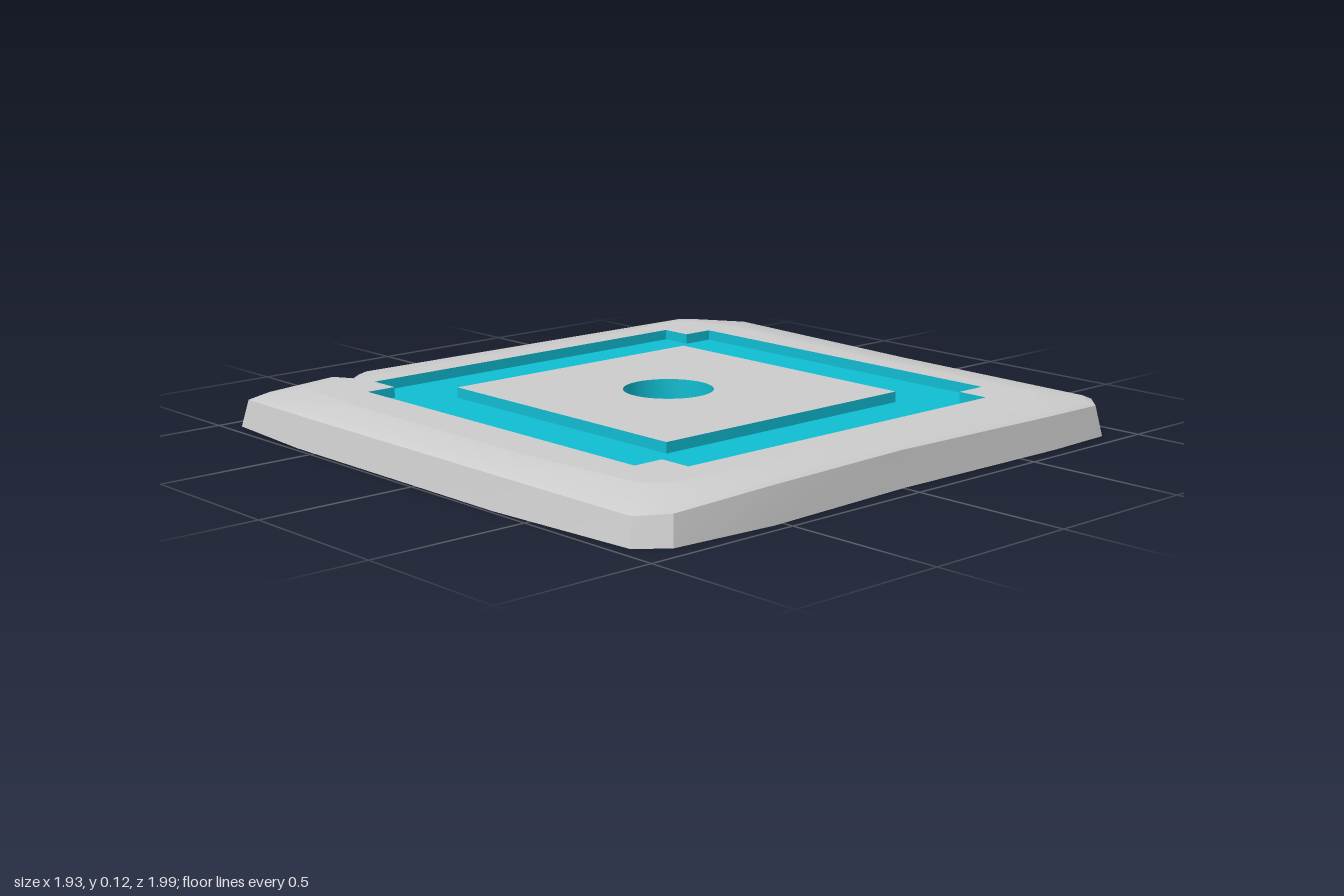
import * as THREE from 'three';
import { toCreasedNormals } from 'three/addons/utils/BufferGeometryUtils.js';

const TOP = 0.123, GROOVE = 0.09, HOLE = 0.06;

// Worn slab outline, clockwise from above: x, z, height of the side there
const outline = [
  [-0.97, -0.91, 0.09], [-0.94, -0.95, 0.09], [-0.71, -1, 0.105], [0.13, -0.95, 0.105],
  [0.885, -0.95, 0.1], [0.94, -0.9, 0.095], [0.95, -0.66, 0.1], [0.94, 0, 0.105],
  [0.965, 0.53, 0.105], [0.94, 0.87, 0.085], [0.87, 0.955, 0.08], [0.35, 0.99, 0.095],
  [-0.59, 0.985, 0.095], [-0.94, 0.955, 0.085], [-0.97, 0.89, 0.085],
  [-0.962, 0.65, 0.1], [-0.96, 0.63, 0.055], [-0.957, 0.52, 0.1], [-0.94, -0.37, 0.1],
];
const chip = [15, 16, 17]; // outline points of the broken notch

const rect = (x0, x1, z0, z1) => [[x0, z0], [x1, z0], [x1, z1], [x0, z1]];
const circle = (cx, cz, r, n = 48) => Array.from({ length: n }, (_, i) => {
  const a = (i / n) * Math.PI * 2;
  return [cx + r * Math.cos(a), cz + r * Math.sin(a)];
});
const at = (points, y) => points.map(([x, z]) => [x, y, z]);

// Skin successive closed loops of [x, y, z]
function skin(loops) {
  const pos = [];
  for (let k = 0; k < loops.length - 1; k++) {
    const a = loops[k], b = loops[k + 1];
    for (let i = 0; i < a.length; i++) {
      const j = (i + 1) % a.length;
      pos.push(...a[i], ...b[i], ...a[j], ...a[j], ...b[i], ...b[j]);
    }
  }
  const geo = new THREE.BufferGeometry();
  geo.setAttribute('position', new THREE.Float32BufferAttribute(pos, 3));
  geo.computeVertexNormals();
  return toCreasedNormals(geo, 0.45);
}

// Level face at height y, optionally with a hole
function face(points, y, hole, down = false) {
  const s = down ? 1 : -1;
  const flat = (p) => p.map(([x, z]) => new THREE.Vector2(x, s * z));
  const shape = new THREE.Shape(flat(points));
  if (hole) shape.holes.push(new THREE.Path(flat(hole)));
  return new THREE.ShapeGeometry(shape).rotateX(s * Math.PI / 2).translate(0, y, 0);
}

export function createModel() {
  const group = new THREE.Group();
  const stone = new THREE.MeshStandardMaterial({ color: 0xcccccc });
  const cyan = new THREE.MeshStandardMaterial({ color: 0x10bdd2, side: THREE.DoubleSide });
  const add = (name, geo, mat) => {
    const mesh = new THREE.Mesh(geo, mat);
    mesh.name = name;
    group.add(mesh);
  };

  // Slab body: tapered side, bevelled lip, gentle slope up to the plateau
  const ring = (scale, height) => outline.map(([x, z, h]) => [x * scale, height(h), z * scale]);
  const plateau = ring(0.85, () => TOP);
  chip.forEach((i) => { plateau[i] = [-0.815, TOP, 0.62]; });
  add('slabSides', skin([
    ring(1, () => 0),
    ring(0.982, (h) => h),
    ring(0.96, (h) => h + 0.011),
    plateau,
  ]), stone);
  add('slabBottom', face(outline, 0, null, true), stone);

  // Square groove with stepped corners
  const grooveOuter = [
    [-0.625, -0.735], [0.6, -0.735], [0.6, -0.63], [0.705, -0.63], [0.705, 0.6], [0.6, 0.6],
    [0.6, 0.7], [-0.625, 0.7], [-0.625, 0.6], [-0.73, 0.6], [-0.73, -0.63], [-0.625, -0.63],
  ];
  const grooveInner = rect(-0.49, 0.465, -0.49, 0.46);
  const border = plateau.filter((_, i) => i !== 15 && i !== 16).map(([x, , z]) => [x, z]);
  add('slabTop', face(border, TOP, grooveOuter), stone);
  add('grooveFloor', face(grooveOuter, GROOVE, grooveInner), cyan);
  add('grooveOuterWall', skin([at(grooveOuter, GROOVE), at(grooveOuter, TOP)]), cyan);
  add('grooveInnerWall', skin([at(grooveInner, GROOVE), at(grooveInner, TOP)]), cyan);

  // Central panel with a round socket
  const socket = circle(-0.035, -0.005, 0.14);
  add('centrePanel', face(grooveInner, TOP, socket), stone);
  add('socketWall', skin([at(socket, HOLE), at(socket, TOP)]), cyan);
  add('socketFloor', face(socket, HOLE), cyan);

  return group;
}
